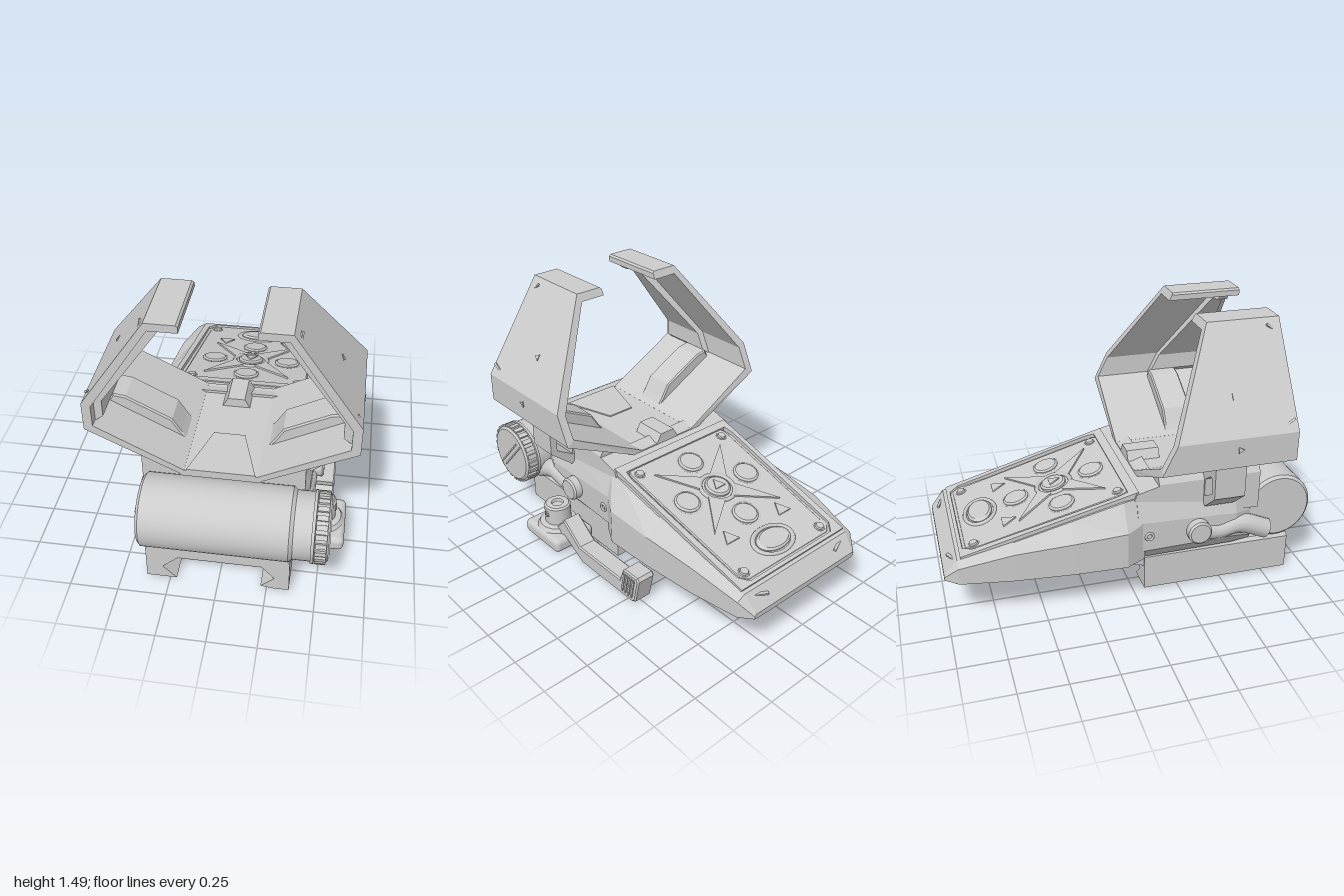
import * as THREE from 'three';
import { toCreasedNormals } from 'three/addons/utils/BufferGeometryUtils.js';
import { RoundedBoxGeometry } from 'three/addons/geometries/RoundedBoxGeometry.js';

const mat = new THREE.MeshStandardMaterial({ color: 0xcccccc, side: THREE.DoubleSide });
const V2 = ([x, y]) => new THREE.Vector2(x, y);
const flipX = (pts) => pts.map(([x, y]) => [-x, y]).reverse();

function add(parent, name, geo, x = 0, y = 0, z = 0) {
  const m = new THREE.Mesh(geo, mat);
  m.name = name;
  m.position.set(x, y, z);
  parent.add(m);
  return m;
}
const box = (w, h, d) => new THREE.BoxGeometry(w, h, d);

// Front (x, y) profile extruded from z0 to z1
function extrudeZ(pts, z0, z1, hole, bevel = 0) {
  const s = new THREE.Shape(pts.map(V2));
  if (hole) s.holes.push(new THREE.Path(hole.map(V2)));
  const opt = { depth: z1 - z0 - 2 * bevel, bevelEnabled: bevel > 0, bevelSize: bevel,
    bevelThickness: bevel, bevelOffset: -bevel, bevelSegments: 1, curveSegments: 8 };
  return new THREE.ExtrudeGeometry(s, opt).translate(0, 0, z0 + bevel);
}
// Side (z, y) profile extruded from x0 to x1
const extrudeX = (pts, x0, x1, bevel = 0) =>
  extrudeZ(pts.map(([z, y]) => [-z, y]), x0, x1, null, bevel).rotateY(Math.PI / 2);
// Plan (x, z) profile extruded from y0 to y1
const extrudeY = (pts, y0, y1, hole, bevel = 0) =>
  extrudeZ(pts.map(([x, z]) => [x, -z]), y0, y1, hole && hole.map(([x, z]) => [x, -z]), bevel).rotateX(-Math.PI / 2);

// Turned part from (radius, height) points
const turned = (pts, seg = 48) => toCreasedNormals(new THREE.LatheGeometry(pts.map(V2), seg), 0.5);

// Faceted loft through rows of [z, yBottom, bottomHalf, y1, y2, midHalf, yTop, topHalf]
function loft(rows) {
  const rings = rows.map(([z, yb, b, y1, y2, m, yt, t]) =>
    [[b, yb], [m, y1], [m, y2], [t, yt], [-t, yt], [-m, y2], [-m, y1], [-b, yb]].map(([x, y]) => [x, y, z]));
  const p = [];
  const tri = (a, b, c) => p.push(...a, ...b, ...c);
  for (let i = 0; i < rings.length - 1; i++) for (let j = 0; j < 8; j++) {
    const k = (j + 1) % 8, A = rings[i], B = rings[i + 1];
    tri(A[j], B[j], A[k]);
    tri(A[k], B[j], B[k]);
  }
  const F = rings[0], L = rings[rings.length - 1];
  for (let j = 1; j < 7; j++) { tri(F[0], F[j], F[j + 1]); tri(L[0], L[j + 1], L[j]); }
  const g = new THREE.BufferGeometry();
  g.setAttribute('position', new THREE.Float32BufferAttribute(p, 3));
  g.computeVertexNormals();
  return g;
}

// Slants the rear edge of hood panels above y = 0.85
function slantRear(g, zBack) {
  const p = g.attributes.position;
  for (let i = 0; i < p.count; i++) {
    if (p.getZ(i) < zBack + 0.01) p.setZ(i, zBack + Math.max(0, p.getY(i) - 0.85) * 0.5);
  }
  g.computeVertexNormals();
  return g;
}

function buildHousing(g) {
  add(g, 'rearHousing', loft([
    [0.04, 0.22, 0.40, 0.25, 0.47, 0.44, 0.60, 0.40],
    [-0.07, 0.22, 0.43, 0.25, 0.45, 0.50, 0.585, 0.41],
    [-0.35, 0.22, 0.43, 0.25, 0.43, 0.49, 0.51, 0.40],
    [-0.65, 0.22, 0.41, 0.25, 0.405, 0.465, 0.43, 0.39],
    [-0.93, 0.21, 0.36, 0.25, 0.34, 0.42, 0.365, 0.375],
    [-1.0, 0.25, 0.34, 0.255, 0.27, 0.37, 0.28, 0.36]]));
  add(g, 'bottomPad', extrudeY([[-0.26, 0.02], [0.26, 0.02], [0.39, -0.07], [0.36, -0.78], [0.28, -0.89],
    [-0.28, -0.89], [-0.36, -0.78], [-0.39, -0.07]], 0.18, 0.24, null, 0.02));
  add(g, 'frontHousing', loft([
    [0.66, 0.23, 0.36, 0.26, 0.42, 0.38, 0.58, 0.36],
    [0.55, 0.23, 0.38, 0.30, 0.44, 0.43, 0.60, 0.38],
    [0.0, 0.22, 0.38, 0.30, 0.47, 0.45, 0.61, 0.40]]));
  add(g, 'hoodSaddle', extrudeZ([[-0.41, 0.45], [0.41, 0.45], [0.41, 0.66], [0.385, 0.70], [0.19, 0.615],
    [-0.19, 0.615], [-0.385, 0.70], [-0.41, 0.66]], 0.12, 0.68));
  add(g, 'hingeStep', extrudeX([[0.13, 0.5], [0.13, 0.655], [0, 0.62], [-0.04, 0.5]], -0.41, 0.41));
  for (const s of [-1, 1]) {
    // curved side rib running from the battery tube to the button
    const path = new THREE.CatmullRomCurve3([[0.74, 0.30], [0.58, 0.36], [0.45, 0.34], [0.33, 0.37]]
      .map(([z, y]) => new THREE.Vector3(s * 0.40, y, z)));
    add(g, 'sideRib', new THREE.TubeGeometry(path, 20, 0.055, 12));
    add(g, 'sideButton', turned([[0, -0.06], [0.065, -0.06], [0.065, 0.05], [0.055, 0.06], [0, 0.06]], 24)
      .rotateZ(-Math.PI / 2 * s), s * 0.43, 0.38, 0.33);
    add(g, 'sideScrew', new THREE.TorusGeometry(0.02, 0.007, 6, 16).rotateY(Math.PI / 2), s * 0.45, 0.385, 0.06);
  }
}

function buildControlPanel(g) {
  const panel = new THREE.Group();
  panel.name = 'controlPanel';
  panel.position.set(0, 0.603, 0);
  panel.rotation.x = -0.264;
  g.add(panel);
  const k = 1.036; // plan depth to depth along the slope
  const put = (name, geo, x, z, y = 0.005) => add(panel, name, geo, x, y, z * k);
  put('panelFrame', extrudeY([[-0.40, 0.02], [0.40, 0.02], [0.375, -0.94], [-0.375, -0.94]], -0.015, 0.018,
    [[-0.36, -0.03], [0.36, -0.03], [0.37, -0.09], [0.34, -0.87], [0.30, -0.92], [-0.30, -0.92], [-0.34, -0.87], [-0.37, -0.09]]), 0, 0);
  put('panelPlate', extrudeY([[-0.32, 0], [0.32, 0], [0.35, -0.05], [0.325, -0.88], [0.29, -0.91],
    [-0.29, -0.91], [-0.325, -0.88], [-0.35, -0.05]], -0.01, 0.008, null, 0.006), 0, 0);
  const ring = (r, t) => new THREE.TorusGeometry(r, t, 6, 32).rotateX(Math.PI / 2);
  const button = (r) => turned([[0, -0.01], [r, -0.01], [r, 0.012], [r * 0.85, 0.02], [0, 0.02]], 32);
  for (const [x, z] of [[0, -0.56], [-0.215, -0.35], [0.215, -0.35], [0, -0.14]]) {
    put('roundButton', button(0.07), x, z);
    put('buttonRing', ring(0.08, 0.006), x, z, 0.008);
  }
  put('centreButton', button(0.07), 0, -0.35, 0.012);
  put('centreRing', ring(0.095, 0.013), 0, -0.35, 0.012);
  put('centreMark', new THREE.CylinderGeometry(0.04, 0.04, 0.01, 3), 0, -0.35, 0.034);
  put('ovalButton', button(0.075).scale(1.45, 1.2, 0.9), 0, -0.76);
  put('ovalRing', ring(0.085, 0.012).scale(1.45, 1, 1), 0, -0.76, 0.01);
  for (const s of [-1, 1]) {
    put('triangleButton', new THREE.CylinderGeometry(0.05, 0.055, 0.02, 3), s * 0.19, -0.64, 0.01);
    for (const [x, z] of [[0.28, -0.83], [0.30, -0.07]]) {
      put('panelScrew', button(0.024), s * x, z);
      put('screwRing', ring(0.026, 0.005), s * x, z, 0.012);
    }
    // tapered star arms
    for (const d of [-1, 1]) {
      put('starArm', extrudeY([[s * 0.03, d * 0.095], [s * 0.24, d * 0.24], [s * 0.095, d * 0.03]], -0.005, 0.018), 0, -0.35);
    }
    const slot = put('rearSlot', box(0.09, 0.012, 0.015), s * 0.29, -0.955, -0.01);
    slot.rotation.y = s * -0.4;
  }
}

function buildBattery(g) {
  const tube = new THREE.Group();
  tube.name = 'batteryTube';
  tube.position.set(0, 0.415, 0.815);
  g.add(tube);
  const turnX = (pts) => turned(pts).rotateZ(-Math.PI / 2);
  add(tube, 'tubeBody', turnX([[0, -0.385], [0.17, -0.385], [0.185, -0.37], [0.185, 0.36], [0.17, 0.378],
    [0.17, 0.47], [0, 0.47]]));
  add(tube, 'tubeCap', turnX([[0, 0.465], [0.18, 0.465], [0.18, 0.48], [0.168, 0.482], [0.168, 0.54], [0.155, 0.55], [0, 0.55]]));
  for (let i = 0; i < 24; i++) {
    const a = i / 24 * Math.PI * 2;
    add(tube, 'capRidge', box(0.055, 0.02, 0.026), 0.512, Math.cos(a) * 0.169, Math.sin(a) * 0.169).rotation.x = a;
  }
  for (const d of [-0.022, 0.022]) {
    add(tube, 'coinSlotEdge', box(0.008, 0.26, 0.008), 0.551, 0, d).rotation.x = -0.75;
  }
}

function buildHood(g) {
  const hood = new THREE.Group();
  hood.name = 'hood';
  g.add(hood);
  add(hood, 'hoodFloor', box(0.4, 0.035, 0.7), 0, 0.622, 0.40);
  add(hood, 'floorBlock', extrudeZ([[-0.075, 0.635], [0.075, 0.635], [0.045, 0.69], [-0.045, 0.69]], 0.05, 0.23));
  add(hood, 'floorStep', extrudeY([[-0.17, 0.75], [0.17, 0.75], [0.08, 0.46], [-0.08, 0.46]], 0.632, 0.647));
  const wing = [[0.18, 0.605], [0.66, 0.845], [0.66, 1.0], [0.33, 1.485], [0.185, 1.485], [0.175, 1.475],
    [0.175, 1.445], [0.315, 1.445], [0.615, 0.985], [0.615, 0.87], [0.18, 0.64]];
  const liner = [[0.62, 0.86], [0.62, 0.99], [0.315, 1.45], [0.2, 1.45], [0.22, 1.415], [0.28, 1.41],
    [0.575, 0.985], [0.575, 0.895]];
  const pad = [[0.20, 0.64], [0.60, 0.85], [0.575, 0.895], [0.51, 0.885], [0.28, 0.765], [0.235, 0.69]];
  const bracket = [[0.385, 0.54], [0.43, 0.51], [0.56, 0.62], [0.56, 0.80], [0.385, 0.71]];
  const bracketHole = [[0.42, 0.57], [0.52, 0.63], [0.52, 0.71], [0.495, 0.72], [0.425, 0.67]];
  for (const s of [-1, 1]) {
    const side = (pts) => (s > 0 ? pts : flipX(pts));
    add(hood, 'hoodWing', slantRear(extrudeZ(side(wing), 0.05, 0.75), 0.05));
    add(hood, 'wingLiner', slantRear(extrudeZ(side(liner), 0.36, 0.70), 0.36));
    add(hood, 'wingPad', extrudeZ(side(pad), 0.36, 0.53, null, 0.008));
    add(hood, 'sideBracket', extrudeZ(side(bracket), 0.365, 0.53, side(bracketHole)));
    // studs and slots on the outer faces
    const tilt = s * 0.597;
    const stud = (x, y, tip) => {
      add(hood, 'hoodStud', new THREE.CylinderGeometry(0.02, 0.02, 0.012, 3).rotateZ(-s * Math.PI / 2), s * x, y, 0.445).rotation.z = tip;
    };
    stud(0.66, 0.94, 0);
    stud(0.543, 1.17, tilt);
    for (const [x, y, z] of [[0.635, 1.04, 0.70], [0.36, 1.435, 0.705]]) {
      add(hood, 'hoodSlot', box(0.008, 0.012, 0.08), s * x, y, z).rotation.set(y > 1.2 ? 0.6 : -0.6, 0, tilt);
    }
  }
}

function buildMount(g) {
  add(g, 'railClamp', extrudeZ([[-0.37, 0.01], [-0.285, 0.01], [-0.215, 0.01], [-0.285, 0.085], [-0.205, 0.16], [0.225, 0.16],
    [0.29, 0.085], [0.22, 0.02], [0.28, 0.01], [0.365, 0.01], [0.365, 0.205], [0.35, 0.225], [-0.355, 0.225], [-0.37, 0.205]], 0.06, 0.89));
  add(g, 'clampTail', extrudeX([[0.16, 0.23], [0.16, 0.12], [0, 0.165], [0, 0.23]], -0.36, 0.36));
  const lever = new THREE.Group();
  lever.name = 'clampLever';
  g.add(lever);
  add(lever, 'leverHub', new RoundedBoxGeometry(0.26, 0.085, 0.32, 3, 0.03), 0.495, 0.06, 0.445);
  add(lever, 'leverPost', turned([[0, 0], [0.045, 0], [0.045, 0.09], [0.12, 0.1], [0.105, 0.125], [0.075, 0.13],
    [0.075, 0.23], [0.065, 0.24], [0.035, 0.24], [0.03, 0.225], [0, 0.225]], 32), 0.495, 0, 0.445);
  add(lever, 'postScrew', new THREE.TorusGeometry(0.014, 0.005, 6, 16).rotateY(Math.PI / 2), 0.57, 0.19, 0.445);
  add(lever, 'leverArm', extrudeX([[0.40, 0.08], [0.40, 0.11], [0.31, 0.21], [0.17, 0.10], [-0.19, 0.10], [-0.215, 0.17],
    [-0.23, 0.185], [-0.335, 0.185], [-0.348, 0.165], [-0.315, 0.02], [-0.29, 0.005], [0.15, 0.005], [0.31, 0.10]], 0.44, 0.55, 0.008));
  for (let i = 0; i < 4; i++) {
    add(lever, 'gripRidge', box(0.01, 0.13, 0.012), 0.551, 0.10, -0.225 - i * 0.025).rotation.x = -0.2;
  }
}

export function createModel() {
  const g = new THREE.Group();
  g.name = 'holographicSight';
  buildHousing(g);
  buildControlPanel(g);
  buildBattery(g);
  buildHood(g);
  buildMount(g);
  return g;
}
